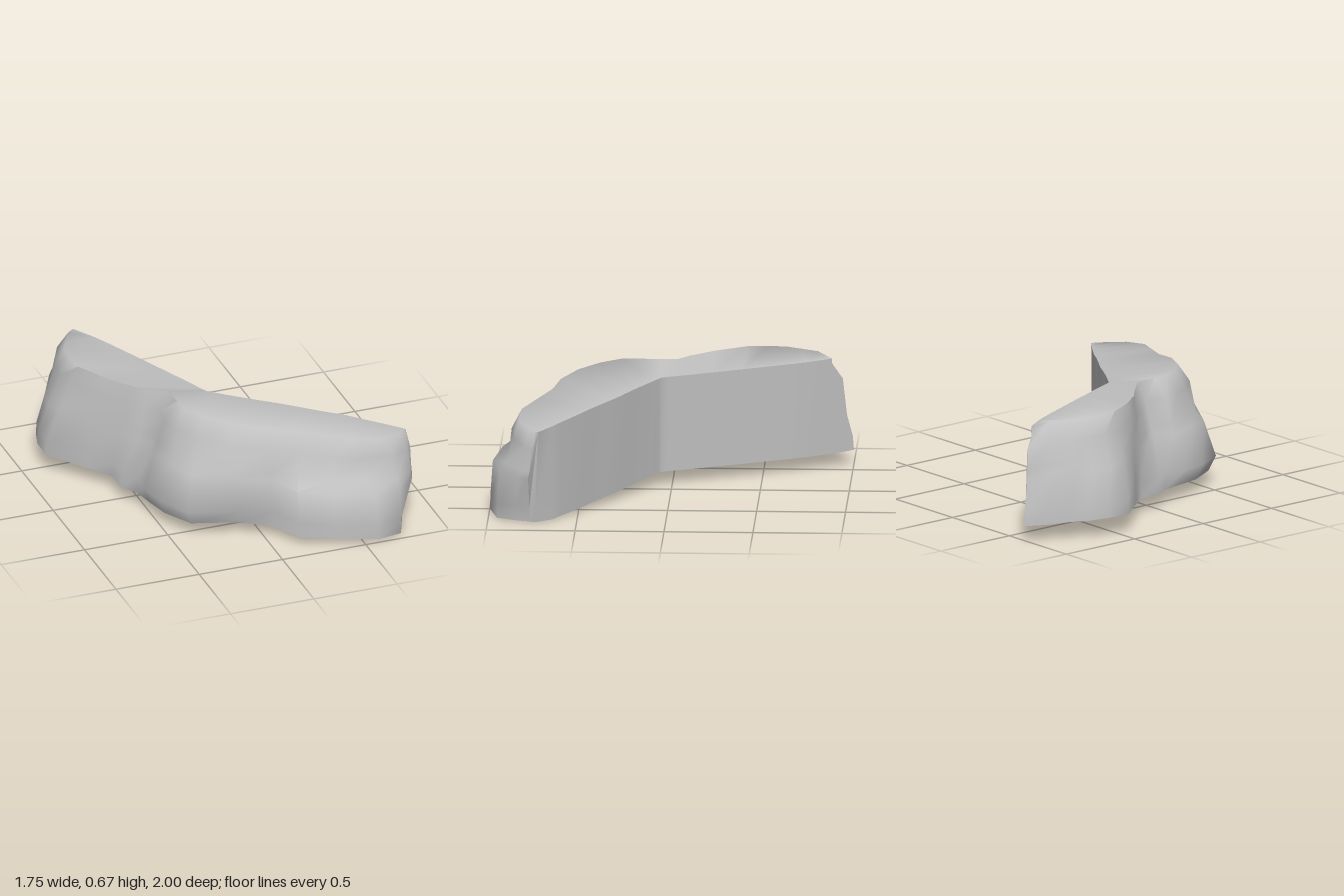
import * as THREE from 'three';
import { toCreasedNormals } from 'three/addons/utils/BufferGeometryUtils.js';

// Plan lines (x, z pairs), one point per cross-section, from the rear end to the front end
const foot = [-.63, -1, -.72, -.9, -.77, -.78, -.84, -.7, -.875, -.58, -.88, -.44, -.7, -.24, -.6, -.12,
  -.6, .02, -.54, .1, -.55, .25, -.515, .41, -.415, .59, -.14, .67, .05, .72, .15, .88, .36, .95,
  .58, .995, .73, .95, .77, .85, .79, .765];
const belly = [-.6, -.95, -.7, -.86, -.76, -.74, -.81, -.64, -.83, -.53, -.81, -.42, -.68, -.24, -.56, -.1,
  -.5, .02, -.45, .1, -.48, .22, -.44, .38, -.37, .53, -.17, .65, .04, .72, .14, .86, .33, .935,
  .57, .98, .73, .935, .84, .83, .865, .77];
const shoulder = [-.585, -.94, -.66, -.84, -.72, -.72, -.75, -.63, -.76, -.52, -.74, -.41, -.65, -.23, -.52, -.09,
  -.46, 0, -.39, .09, -.42, .22, -.38, .33, -.3, .45, -.16, .6, .03, .69, .2, .74, .35, .84,
  .54, .875, .71, .86, .83, .79, .86, .75];
const crest = [-.56, -.88, -.61, -.8, -.66, -.7, -.7, -.62, -.71, -.51, -.7, -.4, -.6, -.22, -.49, -.08,
  -.42, -.02, -.34, .07, -.33, .2, -.33, .29, -.26, .41, -.14, .53, .02, .62, .18, .66, .34, .74,
  .5, .82, .67, .83, .79, .77, .84, .73];
const back = [-.62, -.985, -.55, -.88, -.47, -.75, -.42, -.65, -.36, -.52, -.3, -.39, -.22, -.21, -.16, -.08,
  -.12, .02, -.1, .06, -.08, .075, -.05, .095, 0, .13, .12, .21, .25, .29, .35, .36, .45, .43,
  .56, .5, .68, .59, .75, .64, .845, .715];
const COUNT = foot.length / 2;
const ROWS = 8;

// Piecewise-linear height along x
function ramp(knots, x) {
  for (let i = 1; i < knots.length; i++) {
    const [x0, y0] = knots[i - 1], [x1, y1] = knots[i];
    if (x <= x1) return THREE.MathUtils.lerp(y0, y1, THREE.MathUtils.clamp((x - x0) / (x1 - x0), 0, 1));
  }
  return knots[knots.length - 1][1];
}
const baseY = x => ramp([[-.87, .11], [-.6, .08], [-.1, .075], [.79, 0]], x);
const topY = x => ramp([[-.6, .61], [-.57, .63], [-.1, .62], [.56, .565], [.84, .53]], x);
const crestY = x => ramp([[-.71, .66], [-.42, .65], [-.33, .672], [0, .64], [.5, .58], [.84, .53]], x);

// One cross-section: back foot, front foot, bulge, belly, ledge, shoulder, crest, back top
function section(i) {
  const at = line => [line[2 * i], line[2 * i + 1]];
  const mix = (p, q, t) => [p[0] + (q[0] - p[0]) * t, p[1] + (q[1] - p[1]) * t];
  const f = at(foot), m = at(belly), s = at(shoulder), c = at(crest), b = at(back);
  const low = baseY(f[0]), high = i === 0 ? .6 : crestY(c[0]);
  const level = ([x, z], t) => [x, low + (high - low) * t, z];
  const undercut = i > 9 && i < 14 ? .08 : 0;
  const shelf = i > 14 && i < 18 ? .85 : .4;
  return [
    i === COUNT - 1 ? [.805, 0, .735] : [b[0], baseY(b[0]), b[1]],
    level(mix(f, b, undercut), 0),
    level(mix(f, m, .1), .15),
    level(m, .5),
    level(mix(m, s, shelf), .58),
    level(s, .82),
    level(c, 1),
    [Math.max(b[0], -.555), topY(b[0]), Math.max(b[1], -.88)],
  ];
}

function geometryFrom(triangles, crease) {
  const geo = new THREE.BufferGeometry();
  geo.setAttribute('position', new THREE.Float32BufferAttribute(triangles.flat(2), 3));
  return toCreasedNormals(geo, crease);
}

export function createModel() {
  const group = new THREE.Group();
  group.name = 'cliffWall';
  const rock = new THREE.MeshStandardMaterial({ color: 0xc0c0c0 });
  rock.name = 'grey rock';
  rock.side = THREE.DoubleSide;
  const rings = Array.from({ length: COUNT }, (_, i) => section(i));

  // Skin a band of the cross-sections between two profile rows
  function band(from, to) {
    const tris = [];
    for (let i = 0; i < COUNT - 1; i++) {
      for (let j = from; j < to; j++) {
        const k = (j + 1) % ROWS;
        const a = rings[i][j], b = rings[i + 1][j], c = rings[i + 1][k], d = rings[i][k];
        tris.push([a, b, c], [a, c, d]);
      }
    }
    return tris;
  }
  // Close one end
  function cap(ring) {
    return Array.from({ length: ROWS - 2 }, (_, j) => [ring[0], ring[j + 1], ring[j + 2]]);
  }
  function add(name, triangles, crease) {
    const mesh = new THREE.Mesh(geometryFrom(triangles, crease), rock);
    mesh.name = name;
    group.add(mesh);
  }

  // Hollow shell, open underneath
  add('rockFaceAndTop', band(1, 7), 1.25);
  add('backWall', band(7, 8), .5);
  add('rearEnd', cap(rings[0]), .8);
  add('frontEnd', cap([...rings[COUNT - 1]].reverse()), .8);
  return group;
}
